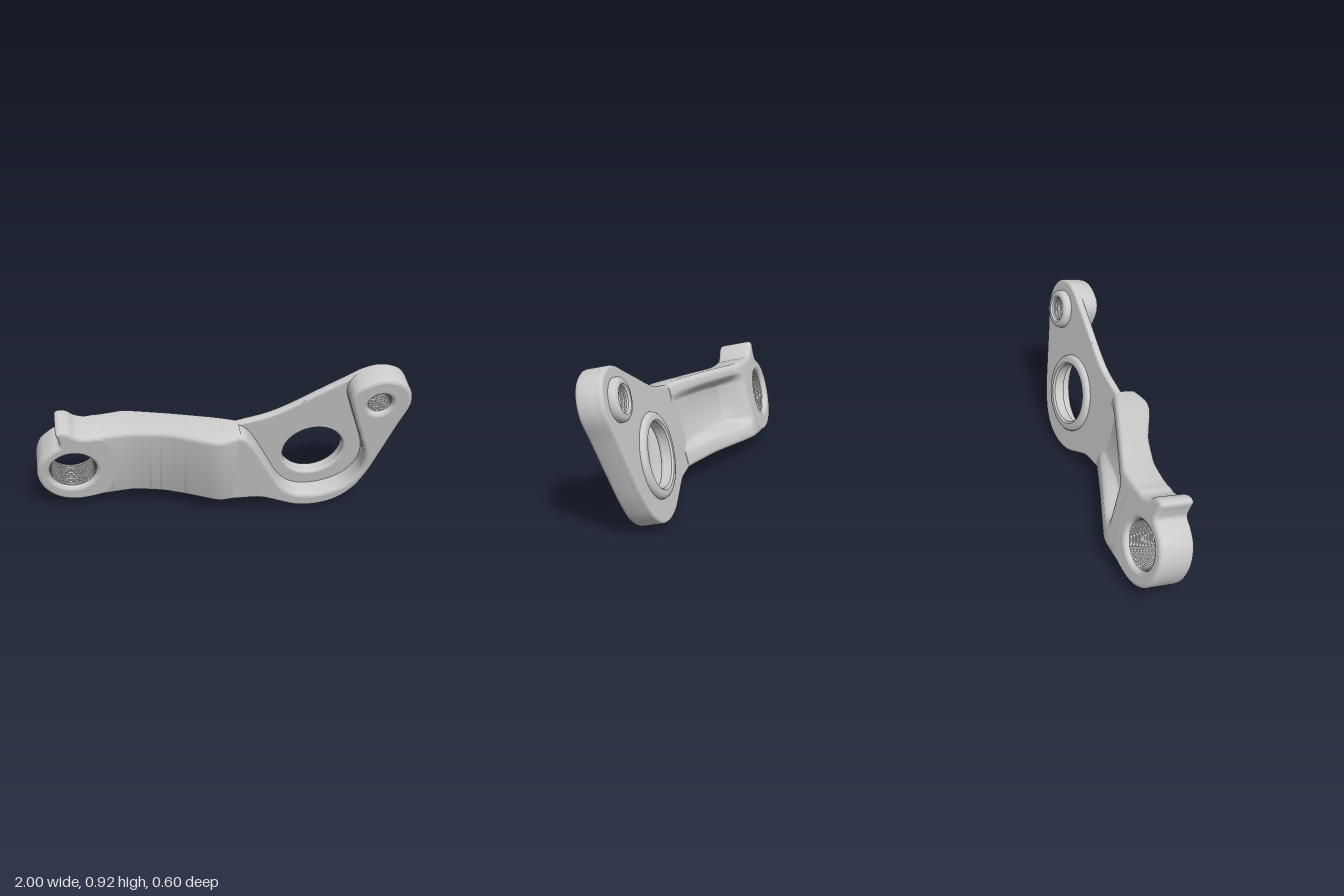
import * as THREE from 'three';
import { toCreasedNormals } from 'three/addons/utils/BufferGeometryUtils.js';

const material = new THREE.MeshStandardMaterial({ color: 0xcccccc, side: THREE.DoubleSide });

function addMesh(group, name, geometry) {
  const mesh = new THREE.Mesh(geometry, material);
  mesh.name = name;
  group.add(mesh);
  return mesh;
}

// Smooth closed counter-clockwise outline through a few points, with round holes [x, y, r]
function outline(points, holes) {
  const curve = new THREE.CatmullRomCurve3(points.map(([x, y]) => new THREE.Vector3(x, y, 0)), true, 'centripetal');
  const shape = new THREE.Shape(curve.getPoints(points.length * 6).slice(0, -1).map(p => new THREE.Vector2(p.x, p.y)));
  for (const [x, y, r] of holes) {
    shape.holes.push(new THREE.Path().absarc(x, y, r, 0, Math.PI * 2, true));
  }
  return shape;
}

// Slab between two depths with rounded edges and truly flat faces
function slab(shape, back, front, bevel) {
  const extruded = new THREE.ExtrudeGeometry(shape, {
    depth: front - back - 2 * bevel, curveSegments: 40, steps: 1,
    bevelEnabled: true, bevelSize: bevel, bevelThickness: bevel, bevelOffset: -bevel, bevelSegments: 4,
  });
  extruded.translate(0, 0, back + bevel);
  const geometry = toCreasedNormals(extruded, 0.6);
  const { position, normal } = geometry.attributes;
  for (let i = 0; i < position.count; i += 3) {
    const z = position.getZ(i);
    const flat = [1, 2].every(k => Math.abs(position.getZ(i + k) - z) < 1e-5);
    const side = z > (front + back) / 2 ? 1 : -1;
    if (flat) for (let k = 0; k < 3; k++) normal.setXYZ(i + k, 0, 0, side);
  }
  return geometry;
}

// Piecewise-linear table lookup, averaged for soft transitions
function lookup(table, x) {
  if (x <= table[0][0]) return table[0][1];
  for (let i = 1; i < table.length; i++) {
    const [x0, a] = table[i - 1], [x1, b] = table[i];
    if (x <= x1) return a + (b - a) * (x - x0) / (x1 - x0);
  }
  return table[table.length - 1][1];
}
function soft(table, x, d = 0.05) {
  let sum = 0;
  for (let k = -3; k <= 3; k++) sum += lookup(table, x + d * k / 3);
  return sum / 7;
}

// Arm edges and depths along x; the front face twists between its upper and lower edge
const BOTTOM = [[-0.66, 0.024], [-0.5, 0.046], [-0.4, 0.06], [-0.15, 0.1], [0.1, 0.117]];
const TOP = [[-0.66, 0.488], [-0.5, 0.507], [-0.25, 0.557], [0, 0.598], [0.1, 0.605]];
const FRONT_TOP = [[-0.6, -0.122], [-0.48, -0.11], [-0.3, -0.05], [-0.2, 0.007], [-0.1, 0.068], [-0.03, 0.1], [0.02, 0.098], [0.08, 0.077], [0.2, 0.05]];
const FRONT_LOW = [[-0.6, -0.122], [-0.46, -0.115], [-0.3, -0.062], [-0.1, 0.04], [-0.01, 0.083], [0.04, 0.083], [0.08, 0.077], [0.2, 0.05]];
const BACK = [[-0.6, -0.319], [-0.5, -0.319], [0.11, -0.058]];
const FLOOR = [[-0.5, -0.319], [-0.43, -0.18], [-0.2, -0.115], [0.04, -0.062], [0.11, -0.05]];

// Cross-section of the arm: rounded box with a trough in its back
function armSection(x) {
  const b = soft(BOTTOM, x), t = soft(TOP, x);
  const f = soft(FRONT_TOP, x, 0.035), g = soft(FRONT_LOW, x, 0.035);
  const k = soft(BACK, x, 0.03);
  const p = Math.max(k, Math.min(soft(FLOOR, x, 0.03), g - 0.02));
  const r = 0.026;
  const pts = [];
  const corner = (y, z, start) => {
    for (let i = 0; i <= 4; i++) {
      const a = start + i * Math.PI / 8;
      pts.push([y + r * Math.cos(a), z + r * Math.sin(a)]);
    }
  };
  // S-shaped trough wall from y0 to y1
  const wall = (y0, y1, z0, z1) => {
    for (let i = 0; i <= 6; i++) {
      const s = i / 6;
      pts.push([y0 + (y1 - y0) * s, z0 + (z1 - z0) * s * s * (3 - 2 * s)]);
    }
  };
  corner(b + r, k + r, Math.PI);
  wall(b + 0.08, b + 0.145, k, p);
  wall(t - 0.115, t - 0.055, p, k);
  corner(t - r, k + r, -Math.PI / 2);
  corner(t - r, f - r, 0);
  corner(b + r, g - r, Math.PI / 2);
  return pts;
}

function armGeometry() {
  const x0 = -0.655, x1 = 0.09, steps = 80;
  const position = [], index = [];
  let n = 0;
  for (let i = 0; i <= steps; i++) {
    const x = x0 + (x1 - x0) * i / steps;
    const section = armSection(x);
    n = section.length;
    for (const [y, z] of section) position.push(x, y, z);
  }
  for (let i = 0; i < steps; i++) {
    for (let j = 0; j < n; j++) {
      const a = i * n + j, b = i * n + (j + 1) % n;
      index.push(a, b, b + n, a, b + n, a + n);
    }
  }
  // Close the end that meets the plate
  for (let j = 1; j < n - 1; j++) index.push(steps * n, steps * n + j, steps * n + j + 1);
  const geometry = new THREE.BufferGeometry();
  geometry.setAttribute('position', new THREE.Float32BufferAttribute(position, 3));
  geometry.setIndex(index);
  return toCreasedNormals(geometry, 0.8);
}

// Raised collar around a hole on the back of the plate
function collar(group, name, [x, y, inner], outer, back) {
  const c = 0.024, base = -0.05;
  const profile = [
    [outer, base], [outer, back + c], [outer - c * 0.13, back + c * 0.5], [outer - c * 0.5, back + c * 0.13],
    [outer - c, back], [inner + 0.01, back], [inner, back + 0.01], [inner, base],
  ].map(([r, h]) => new THREE.Vector2(r, -h));
  const geometry = new THREE.LatheGeometry(profile, 56);
  geometry.rotateX(-Math.PI / 2);
  addMesh(group, name, toCreasedNormals(geometry, 0.6)).position.set(x, y, 0);
}

// Thread ridges lining a hole
function thread(group, name, [x, y, radius], back, front, count) {
  for (let i = 0; i < count; i++) {
    const ring = addMesh(group, name, new THREE.TorusGeometry(radius, 0.005, 6, 40));
    ring.position.set(x, y, back + (front - back) * i / (count - 1));
  }
}

export function createModel() {
  const model = new THREE.Group();
  model.name = 'bracket';
  const body = new THREE.Group();
  body.name = 'tiltedBody';
  body.rotation.x = 0.25;
  model.add(body);

  const bigHole = [0.52, 0.358, 0.17];
  const smallHole = [0.825, 0.76, 0.065];
  const endHole = [-0.8, 0.238, 0.13];

  // Lower and right edge shared by the plate and its rim
  const edge = [
    [0.02, 0.13], [0.1, 0.115], [0.22, 0.108], [0.33, 0.062], [0.43, 0.021], [0.53, 0.01],
    [0.65, 0.036], [0.75, 0.112], [0.82, 0.232], [0.88, 0.395], [0.95, 0.6], [0.998, 0.74],
    [0.985, 0.83], [0.93, 0.9], [0.83, 0.93], [0.74, 0.91],
  ];

  // Thin mounting plate
  const plate = outline([...edge, [0.65, 0.86], [0.5, 0.775], [0.36, 0.695], [0.25, 0.645], [0.1, 0.607], [0.02, 0.58]],
    [bigHole, smallHole]);
  addMesh(body, 'mountingPlate', slab(plate, -0.065, -0.02, 0.014));

  // Thick rim running from the arm around to the upper boss
  const rim = outline([...edge, [0.68, 0.87], [0.66, 0.81], [0.7, 0.66], [0.755, 0.5], [0.79, 0.37],
    [0.778, 0.26], [0.71, 0.165], [0.62, 0.118], [0.52, 0.102], [0.42, 0.122], [0.34, 0.19], [0.27, 0.32],
    [0.2, 0.46], [0.15, 0.545], [0.1, 0.595], [0.02, 0.58]], [smallHole]);
  addMesh(body, 'raisedRim', slab(rim, -0.064, 0.08, 0.024));

  // Collars on the back of both plate holes
  collar(body, 'axleCollar', bigHole, 0.225, -0.092);
  collar(body, 'boltCollar', smallHole, 0.11, -0.105);

  // Offset arm with a trough in its back
  addMesh(body, 'arm', armGeometry());

  // Threaded end with a stop tab; its inner edge is buried in the arm
  const end = outline([[-0.57, 0.41], [-0.61, 0.475], [-0.67, 0.488], [-0.72, 0.484], [-0.775, 0.503],
    [-0.81, 0.532], [-0.85, 0.543], [-0.88, 0.53], [-0.872, 0.48], [-0.868, 0.435], [-0.91, 0.405],
    [-0.973, 0.34], [-1, 0.235], [-0.973, 0.125], [-0.9, 0.044], [-0.8, 0.01], [-0.68, 0.022],
    [-0.61, 0.05], [-0.57, 0.12]], [endHole]);
  addMesh(body, 'threadedEnd', slab(end, -0.32, -0.12, 0.024));

  thread(body, 'endThread', endHole, -0.29, -0.15, 9);
  thread(body, 'boltThread', smallHole, -0.08, 0.05, 8);

  return model;
}
